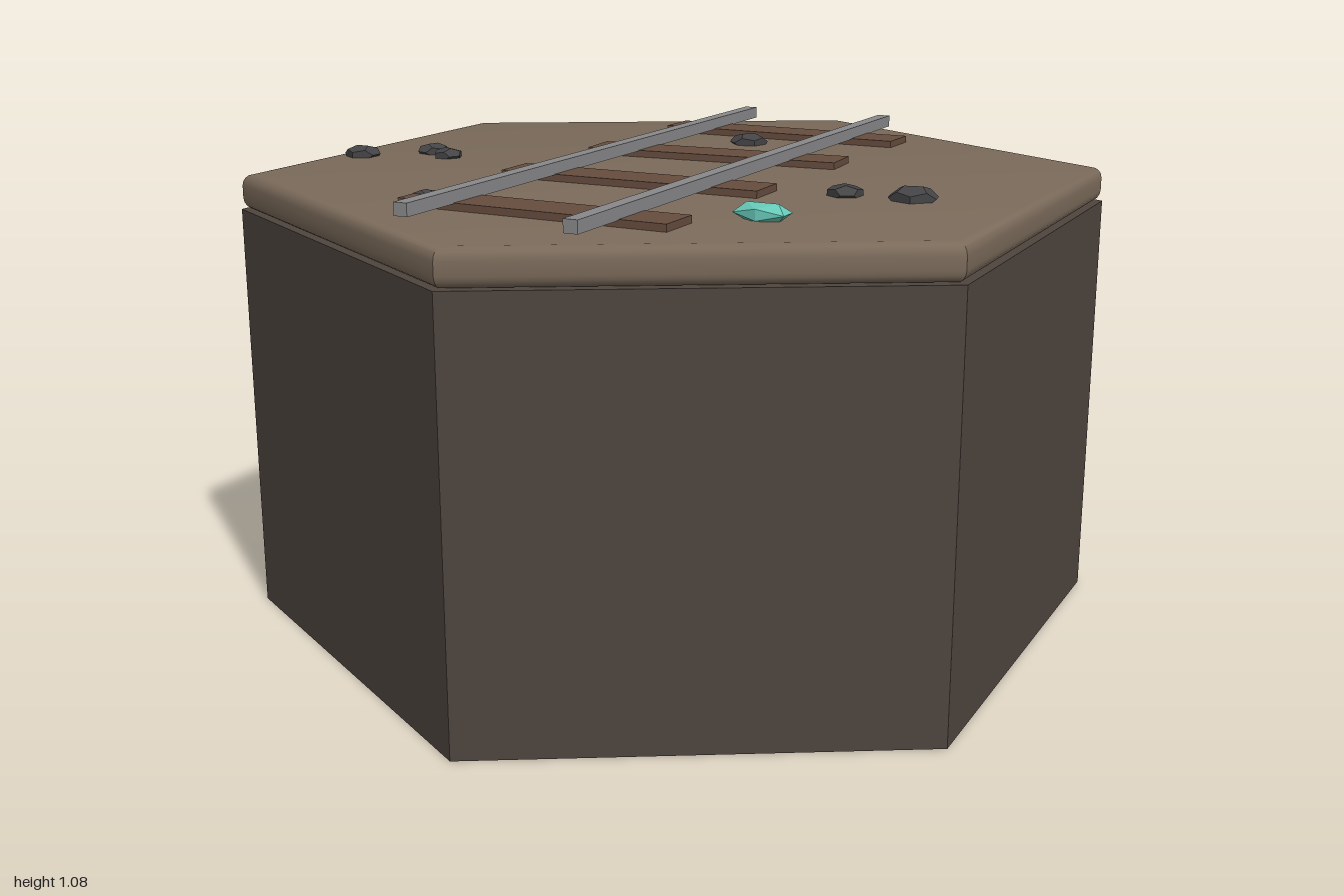
import * as THREE from 'three';
import { toCreasedNormals } from 'three/addons/utils/BufferGeometryUtils.js';

const mat = (color, flatShading = false) => {
  const m = new THREE.MeshStandardMaterial({ flatShading });
  m.color.set(color);
  return m;
};

export function createModel() {
  const model = new THREE.Group();
  const stone = mat(0x4e443e), soil = mat(0x7a6a5a), wood = mat(0x664c3e);
  const steel = mat(0x88888a), coal = mat(0x444446, true), gem = mat(0x66c8b8, true);

  const add = (name, geometry, material, x, y, z) => {
    const mesh = new THREE.Mesh(geometry, material);
    mesh.name = name;
    mesh.position.set(x, y, z);
    model.add(mesh);
    return mesh;
  };

  // Hexagonal base block, corners pointing along z
  add('base', toCreasedNormals(new THREE.CylinderGeometry(1, 1, 0.96, 6), 0.5), stone, 0, 0.48, 0);

  // Ground slab: six-sided lathe with rounded rims
  const outer = 0.995, bevel = 0.026, bottom = 0.96, top = 1.04;
  const profile = [new THREE.Vector2(0, bottom)];
  const rim = (cy, from) => {
    for (let i = 0; i <= 4; i++) {
      const a = from + (i / 4) * Math.PI / 2;
      profile.push(new THREE.Vector2(outer - bevel + bevel * Math.cos(a), cy + bevel * Math.sin(a)));
    }
  };
  rim(bottom + bevel, -Math.PI / 2);
  rim(top - bevel, 0);
  profile.push(new THREE.Vector2(0, top));
  add('groundSlab', toCreasedNormals(new THREE.LatheGeometry(profile, 6), 0.7), soil, 0, 0, 0);

  // Sleepers, each laid slightly askew: [z, turn]
  const sleeper = new THREE.BoxGeometry(0.63, 0.02, 0.108);
  [[-0.615, -0.01], [-0.208, 0.07], [0.2, 0.012], [0.607, -0.01]].forEach(([z, turn]) => {
    add('sleeper', sleeper, wood, 0, 1.046, z).rotation.y = turn;
  });

  // Rails
  const rail = new THREE.BoxGeometry(0.032, 0.028, 1.65);
  for (const side of [-1, 1]) add('rail', rail, steel, side * 0.193, 1.068, -0.003);

  // Loose coal lumps: [x, z, radius, half height]
  const lump = new THREE.DodecahedronGeometry(1, 0);
  [
    [-0.782, 0.146, 0.044, 0.021], [-0.655, 0.03, 0.039, 0.019], [-0.585, 0.07, 0.037, 0.018],
    [-0.03, -0.46, 0.048, 0.021], [0.468, 0.13, 0.042, 0.019], [0.616, 0.115, 0.055, 0.025],
    [-0.3, 0.585, 0.029, 0.018],
  ].forEach(([x, z, r, h], i) => {
    const rock = add('coalLump', lump, coal, x, 1.046, z);
    rock.scale.set(r, h, r);
    rock.rotation.y = i * 1.3;
  });

  // Gemstone
  const crystal = add('gemstone', new THREE.IcosahedronGeometry(1, 0), gem, 0.425, 1.055, 0.463);
  crystal.scale.set(0.066, 0.023, 0.042);

  return model;
}
